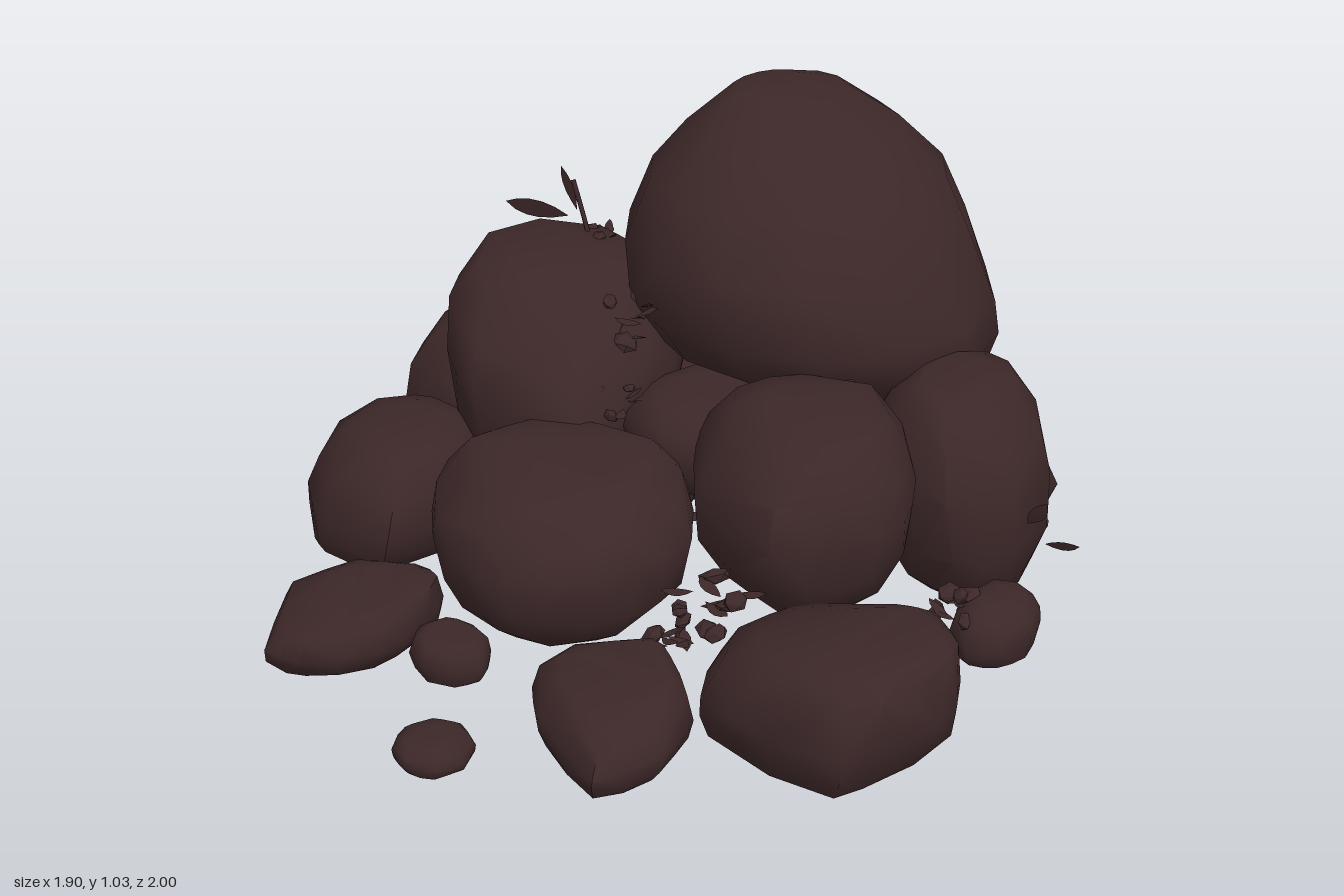
import * as THREE from 'three';
import { mergeVertices, toCreasedNormals } from 'three/addons/utils/BufferGeometryUtils.js';
import { ConvexGeometry } from 'three/addons/geometries/ConvexGeometry.js';

const stone = new THREE.MeshStandardMaterial({ color: 0x3c2728, side: THREE.DoubleSide });
stone.name = 'dark brown stone';

// Small seeded generator
function seeded(seed) {
  let s = seed * 7919 + 17;
  return () => {
    s = (s * 1664525 + 1013904223) % 4294967296;
    return s / 4294967296;
  };
}

// Convex stone around a set of points, soft facets with sharp corners kept
function hull(points) {
  const g = new ConvexGeometry(points);
  g.deleteAttribute('normal');
  return toCreasedNormals(mergeVertices(g, 1e-4), 0.9);
}

// Oval plan outline inside given bounds
function oval(x0, x1, z0, z1, sides = 8) {
  return Array.from({ length: sides }, (_, i) => {
    const a = (i / sides) * Math.PI * 2;
    return [(x0 + x1) / 2 + Math.cos(a) * (x1 - x0) / 2, (z0 + z1) / 2 + Math.sin(a) * (z1 - z0) / 2];
  });
}

// Side profiles: [height fraction, plan scale]
const profiles = {
  round: [[0, 0.86], [0.15, 0.96], [0.38, 1], [0.68, 0.92], [0.9, 0.68], [1, 0.36]],
  flat: [[0, 0.86], [0.2, 0.97], [0.45, 1], [0.8, 0.9], [0.95, 0.7], [1, 0.5]],
  peaked: [[0, 0.9], [0.3, 1], [0.55, 0.92], [0.8, 0.66], [1, 0.18]],
  perched: [[0, 0.5], [0.12, 0.74], [0.3, 0.92], [0.58, 1], [0.78, 0.92], [0.93, 0.7], [1, 0.4]],
};

// Plan outline stacked along a profile with slight unevenness.
// lean moves the top sideways, slope tilts the top (rise per unit of x and z)
function rockGeometry(outline, y0, y1, profile, lean, slope) {
  const rand = seeded(outline.length + Math.round((outline[0][0] + 2) * 100));
  const cx = outline.reduce((s, p) => s + p[0], 0) / outline.length;
  const cz = outline.reduce((s, p) => s + p[1], 0) / outline.length;
  const points = [];
  for (const [t, k] of profiles[profile]) {
    const uneven = k < 1 ? 1 : 0.2;
    outline.forEach(([x, z], i) => {
      const next = outline[(i + 1) % outline.length];
      // each corner, then the edge middle pushed out a little
      for (const [px, pz, out] of [[x, z, 1], [(x + next[0]) / 2, (z + next[1]) / 2, 1.03]]) {
        const r = k * out * (1 + (rand() - 0.5) * 0.08 * uneven);
        const dx = (px - cx) * r, dz = (pz - cz) * r;
        const bump = t > 0 && t < 1 ? (rand() - 0.5) * 0.1 : 0;
        const tilt = t * t * (slope[0] * dx + slope[1] * dz);
        points.push(new THREE.Vector3(
          cx + dx + lean[0] * (t - 0.4),
          Math.min(y1, y0 + (y1 - y0) * (t + bump) + tilt),
          cz + dz + lean[1] * (t - 0.4)));
      }
    });
  }
  return hull(points);
}

// Pointed leaf blade, slightly curled along its length
function leafGeometry(length, width) {
  const s = new THREE.Shape();
  s.moveTo(0, 0);
  s.quadraticCurveTo(width, length * 0.6, 0, length);
  s.quadraticCurveTo(-width, length * 0.6, 0, 0);
  const g = new THREE.ShapeGeometry(s, 5);
  const p = g.attributes.position;
  for (let i = 0; i < p.count; i++) p.setZ(i, 1.5 * p.getY(i) ** 2 + Math.abs(p.getX(i)) * 0.4);
  g.computeVertexNormals();
  return g;
}

export function createModel() {
  const model = new THREE.Group();
  const add = (name, geometry, parent = model) => {
    const m = new THREE.Mesh(geometry, stone);
    m.name = name;
    parent.add(m);
    return m;
  };
  const rock = (name, outline, y0, y1, profile = 'round', lean = [0, 0], slope = [0, 0]) =>
    add(name, rockGeometry(outline, y0, y1, profile, lean, slope));

  // Large boulder on top, from oval sections: [y, x0, x1, z0, z1]
  const sections = [
    [1.02, -0.13, 0, -0.55, -0.34], [0.995, -0.16, 0.09, -0.65, -0.3], [0.92, -0.25, 0.23, -0.75, -0.2],
    [0.83, -0.32, 0.36, -0.82, -0.1], [0.7, -0.36, 0.43, -0.87, -0.02], [0.55, -0.36, 0.5, -0.89, -0.02],
    [0.46, -0.34, 0.5, -0.9, -0.08], [0.34, -0.26, 0.43, -0.9, -0.28], [0.24, -0.17, 0.33, -0.89, -0.46],
    [0.18, -0.03, 0.2, -0.76, -0.58],
  ];
  add('topBoulder', hull(sections.flatMap(([y, ...bounds]) =>
    oval(...bounds, 14).map(([x, z]) => new THREE.Vector3(x, y, z)))));

  // Rocks perched in the middle of the pile
  rock('upperRightRock', [[-0.65, -0.03], [-0.61, -0.24], [-0.4, -0.33], [-0.15, -0.27], [-0.05, -0.03],
    [-0.1, 0.18], [-0.36, 0.25], [-0.55, 0.14]], 0.1, 0.63, 'perched', [-0.06, -0.06], [-0.2, -0.15]);
  rock('upperLeftRock', [[0.11, 0.02], [0.24, -0.17], [0.48, -0.2], [0.62, -0.08], [0.68, 0.05],
    [0.64, 0.2], [0.53, 0.32], [0.28, 0.25]], 0.12, 0.53, 'perched', [-0.02, -0.04], [0, -0.1]);
  rock('sideLeftRock', [[0.45, -0.58], [0.64, -0.56], [0.77, -0.42], [0.78, -0.25], [0.69, -0.12],
    [0.5, -0.13], [0.4, -0.32]], 0.02, 0.51, 'perched', [-0.08, 0]);
  rock('hiddenMiddleRock', oval(-0.15, 0.28, -0.28, 0.11), 0.2, 0.42, 'perched');

  // Large rocks standing on the ground
  rock('frontCentreRock', [[-0.36, 0.38], [-0.27, 0.1], [0.1, 0.05], [0.25, 0.22], [0.25, 0.4],
    [0.13, 0.56], [-0.03, 0.6], [-0.21, 0.55]], 0.01, 0.37, 'perched', [-0.02, -0.04], [0, -0.15]);
  rock('frontLeftRock', [[0.72, 0.08], [0.87, 0.12], [0.95, 0.25], [0.94, 0.4], [0.88, 0.54],
    [0.72, 0.57], [0.52, 0.53], [0.44, 0.36], [0.5, 0.2]], 0, 0.25, 'flat', [0.04, 0], [0.2, 0]);
  rock('sideRightRock', [[-0.88, -0.43], [-0.62, -0.5], [-0.52, -0.4], [-0.52, -0.1], [-0.65, 0],
    [-0.87, -0.02], [-0.95, -0.22]], 0, 0.38, 'peaked');
  rock('frontRightRock', [[-0.82, 0.1], [-0.7, 0.03], [-0.44, 0.08], [-0.36, 0.3], [-0.4, 0.5],
    [-0.6, 0.52], [-0.75, 0.42], [-0.83, 0.27]], 0, 0.27, 'round', [0.04, -0.04], [0.1, 0]);
  rock('backRightRock', [[-0.67, -0.5], [-0.56, -0.7], [-0.42, -0.76], [-0.29, -0.7], [-0.28, -0.4],
    [-0.45, -0.28], [-0.62, -0.33]], 0, 0.23, 'flat');
  rock('backLeftRock', [[0.38, -0.79], [0.6, -0.75], [0.61, -0.58], [0.5, -0.46], [0.3, -0.48],
    [0.24, -0.6], [0.28, -0.74]], 0, 0.17, 'flat');

  // Smaller stones scattered around the pile
  rock('lowRightStone', [[-0.29, 0.51], [-0.43, 0.58], [-0.48, 0.74], [-0.35, 0.92], [-0.26, 0.91],
    [-0.15, 0.78], [-0.15, 0.63], [-0.2, 0.53]], 0, 0.13, 'flat', [0.02, 0], [0.1, -0.1]);
  rock('lowLeftStone', [[0.33, 0.45], [0.2, 0.57], [0.19, 0.67], [0.28, 0.75], [0.5, 0.84],
    [0.56, 0.7], [0.53, 0.56], [0.42, 0.48]], 0, 0.15, 'flat', [0, -0.02], [0, -0.15]);
  rock('backStone', [[0.06, -1], [0.2, -0.99], [0.27, -0.91], [0.27, -0.84], [0.1, -0.82], [0.03, -0.9]],
    0, 0.09, 'flat', [0, 0.02], [0, 0.15]);
  rock('smallBackStone', oval(-0.17, -0.04, -0.98, -0.84, 7), 0, 0.06);
  rock('underBoulderRock', oval(-0.05, 0.18, -0.77, -0.57), 0.01, 0.18);
  rock('smallFrontStone', oval(-0.15, 0.04, 0.58, 0.74), 0, 0.09, 'flat');
  rock('frontPebble', oval(0.06, 0.23, 0.83, 1), 0, 0.06);
  rock('sideLeftStone', oval(0.71, 0.89, -0.27, -0.03), 0, 0.13);

  // Crumbs and dry leaf litter caught in the gaps: [x, y, z, spread]
  const litter = [
    [-0.13, 0.55, -0.04, 0.08], [-0.09, 0.4, 0.05, 0.06], [-0.4, 0.61, -0.26, 0.05],
    [0.4, 0.18, 0.35, 0.08], [0.32, 0.06, 0.35, 0.07], [0.73, 0.1, -0.07, 0.06],
    [-0.73, 0.05, 0.03, 0.06], [0.42, 0.5, -0.12, 0.04], [-0.27, 0.03, -0.77, 0.05],
    [0.05, 0.06, -0.15, 0.11], [-0.22, 0.06, -0.2, 0.13],
    [0.25, 0.08, -0.1, 0.1], [0.62, 0.05, -0.58, 0.04], [-0.08, 0.03, -0.78, 0.06],
  ];
  litter.forEach(([x, y, z, r], k) => {
    const rand = seeded(100 + k);
    const spread = () => (rand() - 0.5) * 2 * r;
    const clump = new THREE.Group();
    clump.name = 'litterClump';
    clump.position.set(x, y, z);
    for (let i = 0; i < 5; i++) {
      const size = r * (0.2 + rand() * 0.25);
      const crumb = add('crumb', new THREE.IcosahedronGeometry(size, 0), clump);
      crumb.position.set(spread(), spread() * 0.4, spread());
      crumb.scale.set(1, 0.6, 1.2);
      crumb.rotation.set(rand(), rand() * 6, rand());
    }
    for (let i = 0; i < 6; i++) {
      const leaf = add('litterLeaf', leafGeometry(r * 0.9, r * 0.4), clump);
      leaf.position.set(spread() * 0.7, spread() * 0.3, spread() * 0.7);
      leaf.rotation.set(0.9 + rand() * 0.6, rand() * 6, 0, 'YXZ');
    }
    model.add(clump);
  });

  // Loose leaves and sprouts: [x, y, z, length, width, tilt, turn, roll]
  const leaves = [
    [-0.47, 0.66, -0.21, 0.15, 0.05, 0.2, 0.3, 1.25],
    [-0.46, 0.67, -0.23, 0.12, 0.025, 0, 0.2, 0.25],
    [0.82, 0.28, -0.22, 0.08, 0.035, 0.2, 0.4, -0.6],
    [0.86, 0.24, -0.23, 0.08, 0.025, 0.3, 0.3, -1.4],
    [-0.8, 0.02, 0.04, 0.08, 0.025, 1.3, 1.2, 0],
    [-0.86, 0.02, 0.12, 0.04, 0.015, 1.3, 2.4, 0],
  ];
  for (const [x, y, z, l, w, tilt, turn, roll] of leaves) {
    const leaf = add('leaf', leafGeometry(l, w));
    leaf.position.set(x, y, z);
    leaf.rotation.set(tilt, turn, roll);
  }
  // Thin stem holding the sprout
  const stem = new THREE.CatmullRomCurve3([
    new THREE.Vector3(-0.41, 0.6, -0.22), new THREE.Vector3(-0.44, 0.66, -0.23), new THREE.Vector3(-0.48, 0.74, -0.24)]);
  add('stem', new THREE.TubeGeometry(stem, 6, 0.006, 5));

  return model;
}
